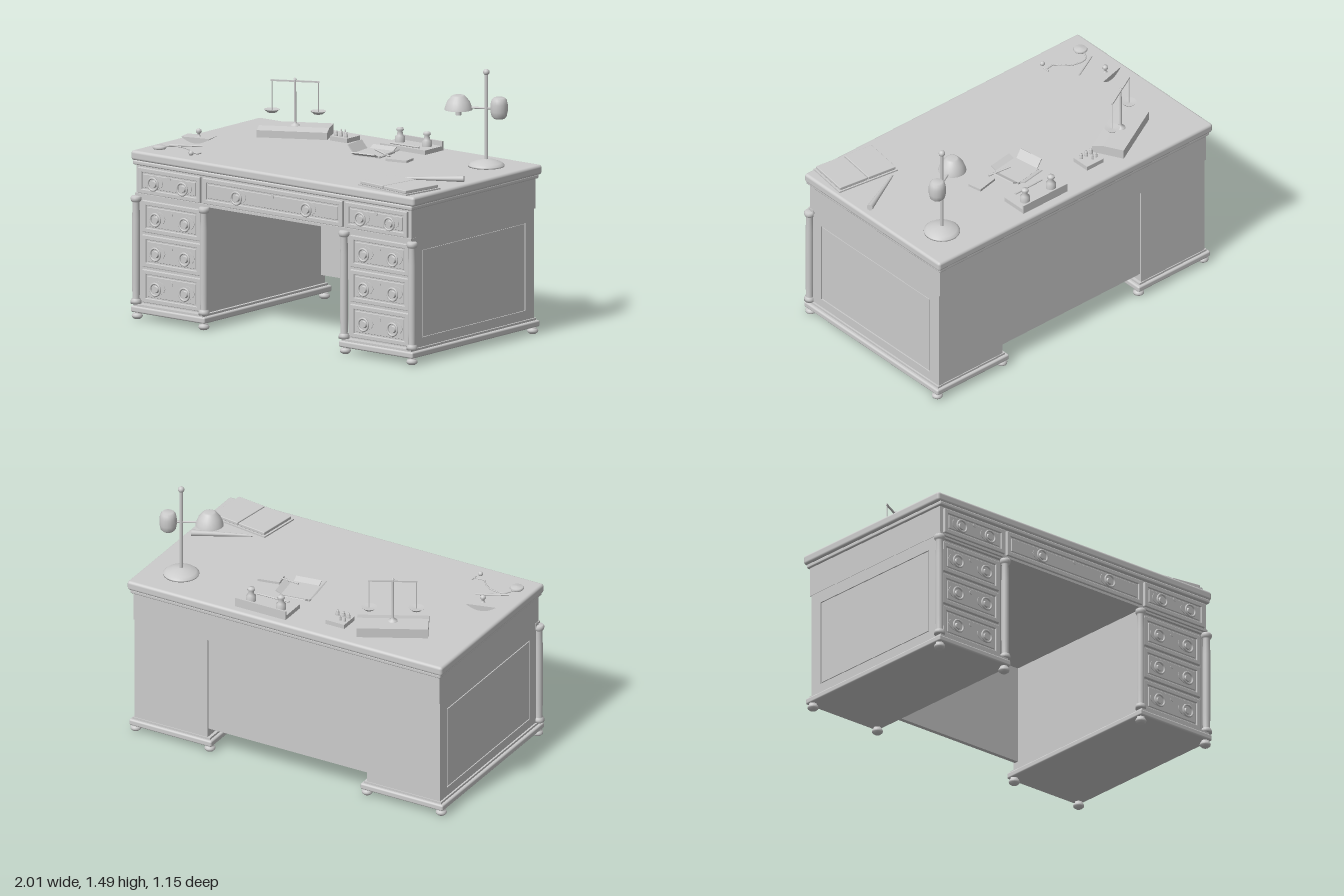
import * as THREE from 'three';
import { RoundedBoxGeometry } from 'three/addons/geometries/RoundedBoxGeometry.js';

const mat = new THREE.MeshStandardMaterial({ color: 0xcccccc, side: THREE.DoubleSide });
const TOP = 0.945; // height of the writing surface

function add(parent, name, geo, x = 0, y = 0, z = 0, rx = 0, ry = 0, rz = 0) {
  const m = new THREE.Mesh(geo, mat);
  m.name = name;
  m.position.set(x, y, z);
  m.rotation.set(rx, ry, rz);
  parent.add(m);
  return m;
}
function group(parent, name, x = 0, y = 0, z = 0, ry = 0) {
  const g = new THREE.Group();
  g.name = name;
  g.position.set(x, y, z);
  g.rotation.y = ry;
  parent.add(g);
  return g;
}
// Box given by its limits
function block(parent, name, x0, x1, y0, y1, z0, z1, r = 0) {
  const s = [x1 - x0, y1 - y0, z1 - z0];
  const geo = r ? new RoundedBoxGeometry(...s, 4, r) : new THREE.BoxGeometry(...s);
  return add(parent, name, geo, (x0 + x1) / 2, (y0 + y1) / 2, (z0 + z1) / 2);
}
const lathe = (pts, n = 24) => new THREE.LatheGeometry(pts.map(p => new THREE.Vector2(...p)), n);
const cyl = (r0, r1, h, n = 16) => new THREE.CylinderGeometry(r0, r1, h, n);
const ball = r => new THREE.SphereGeometry(r, 16, 12);

// Straight rod between two points
function rod(parent, name, a, b, ra, rb = ra) {
  const p = new THREE.Vector3(...a), q = new THREE.Vector3(...b), d = q.clone().sub(p);
  const m = add(parent, name, cyl(rb, ra, d.length(), 10));
  m.position.copy(p).add(q).multiplyScalar(0.5);
  m.quaternion.setFromUnitVectors(new THREE.Vector3(0, 1, 0), d.normalize());
  return m;
}
// Rectangular frame lying in the xy plane
function frame(w, h, border, depth, bevel = 0) {
  const rect = (T, a, b) => new T([[-a, -b], [a, -b], [a, b], [-a, b]].map(p => new THREE.Vector2(...p)));
  const s = rect(THREE.Shape, w / 2 - bevel, h / 2 - bevel);
  s.holes.push(rect(THREE.Path, w / 2 - border + bevel, h / 2 - border + bevel));
  return new THREE.ExtrudeGeometry(s, {
    depth: depth - bevel, bevelEnabled: bevel > 0, bevelSize: bevel, bevelThickness: bevel, bevelSegments: 2,
  });
}

// Drawer front with raised border, keyhole and ring pulls
function drawer(parent, x0, x1, y0, y1, z, pulls) {
  const w = x1 - x0, h = y1 - y0;
  const g = group(parent, 'drawer', (x0 + x1) / 2, (y0 + y1) / 2, z);
  block(g, 'drawerFront', -w / 2, w / 2, -h / 2, h / 2, -0.01, 0.006);
  add(g, 'drawerBorder', frame(w, h, 0.026, 0.014, 0.004));
  block(g, 'drawerPanel', -w / 2 + 0.034, w / 2 - 0.034, -h / 2 + 0.034, h / 2 - 0.034, 0, 0.011, 0.003);
  add(g, 'keyhole', cyl(0.011, 0.011, 0.006), 0, 0.033, 0.012, Math.PI / 2);
  for (const x of pulls) {
    const p = group(g, 'pull', x, -0.008, 0.011);
    const plate = add(p, 'backPlate', cyl(0.06, 0.06, 0.005, 20), 0, 0.008, 0.001, Math.PI / 2);
    plate.scale.z = 0.64;
    add(p, 'pullBoss', cyl(0.016, 0.022, 0.014), 0, 0, 0.007, Math.PI / 2);
    add(p, 'pullRing', new THREE.TorusGeometry(0.034, 0.006, 8, 28), 0, 0, 0.015);
  }
}

function pedestal(parent, side) {
  const g = group(parent, 'pedestal');
  const cx = side * 0.735;
  block(g, 'pedestalBody', cx - 0.228, cx + 0.228, 0.07, 0.7, -0.54, 0.51);
  block(g, 'plinth', cx - 0.262, cx + 0.262, 0.038, 0.074, -0.56, 0.56, 0.01);
  block(g, 'plinthMoulding', cx - 0.245, cx + 0.245, 0.072, 0.086, -0.545, 0.552);
  block(g, 'columnHeadRail', cx - 0.24, cx + 0.24, 0.685, 0.7, 0.5, 0.53);
  // Sunken panel on the outer side
  const inner = frame(1.05, 0.63, 0.01, 0.007);
  add(g, 'sidePanelRim', inner, cx + side * 0.228, 0.385, -0.015, 0, side * Math.PI / 2);
  const rail = [[-0.54, -0.463, 0.07, 0.7], [0.443, 0.51, 0.07, 0.7], [-0.463, 0.443, 0.632, 0.7], [-0.463, 0.443, 0.07, 0.138]];
  const xa = cx + side * 0.227, xb = cx + side * 0.235;
  for (const [z0, z1, y0, y1] of rail)
    block(g, 'sidePanelRail', Math.min(xa, xb), Math.max(xa, xb), y0, y1, z0, z1);
  block(g, 'sidePanelField', Math.min(xa, xb), Math.max(xa, xb) - 0.002, 0.144, 0.626, -0.457, 0.437);
  for (const [y0, y1] of [[0.095, 0.28], [0.295, 0.475], [0.49, 0.668]])
    drawer(g, cx - 0.205, cx + 0.205, y0, y1, 0.512, [-0.103, 0.103]);
  // Turned columns and bun feet
  const col = lathe([[0, 0.085], [0.03, 0.085], [0.03, 0.1], [0.025, 0.112], [0.02, 0.115], [0.022, 0.2], [0.022, 0.56],
    [0.019, 0.655], [0.026, 0.66], [0.03, 0.67], [0.03, 0.682], [0.024, 0.69], [0, 0.69]], 20);
  const foot = lathe([[0, 0], [0.018, 0], [0.029, 0.009], [0.031, 0.018], [0.026, 0.028], [0.018, 0.031], [0.022, 0.04], [0, 0.04]], 20);
  for (const dx of [-0.24, 0.24]) {
    add(g, 'column', col, cx + dx, 0, 0.535);
    for (const z of [-0.527, 0.53]) add(g, 'foot', foot, cx + dx * 0.98, 0, z);
  }
}

function balanceScale(parent) {
  const g = group(parent, 'balanceScale', -0.545, TOP, -0.325, 0.49);
  // Case with a sloping top
  const s = new THREE.Shape([[-0.093, 0], [0.093, 0], [0.093, 0.04], [0.03, 0.055], [-0.093, 0.055]].map(p => new THREE.Vector2(...p)));
  add(g, 'scaleCase', new THREE.ExtrudeGeometry(s, { depth: 0.395, bevelEnabled: false }), 0.1975, 0, 0, 0, -Math.PI / 2);
  add(g, 'scaleColumn', lathe([[0.028, 0.05], [0.026, 0.06], [0.012, 0.066], [0.007, 0.08], [0.006, 0.31], [0.01, 0.315], [0, 0.325]], 16));
  block(g, 'scaleBeam', -0.137, 0.137, 0.3, 0.309, -0.004, 0.004);
  for (const x of [-0.13, 0.13]) {
    rod(g, 'scaleHanger', [x, 0.3, 0], [x, 0.125, 0], 0.0025);
    add(g, 'scalePan', lathe([[0, 0.122], [0.025, 0.125], [0.042, 0.14], [0.043, 0.142], [0, 0.136]]), x);
  }
}

function lamp(parent) {
  const g = group(parent, 'deskLamp', 0.784, TOP, -0.352);
  add(g, 'lampBase', lathe([[0, 0], [0.1, 0], [0.1, 0.008], [0.085, 0.02], [0.05, 0.033], [0.012, 0.04], [0, 0.04]], 32));
  rod(g, 'lampPole', [0, 0.03, 0], [0, 0.52, 0], 0.01);
  add(g, 'lampFinial', ball(0.018), 0, 0.528, 0);
  rod(g, 'lampArm', [-0.139, 0.325, 0.072], [0.06, 0.325, -0.032], 0.006);
  add(g, 'lampShade', lathe([[0.078, 0.312], [0.075, 0.325], [0.062, 0.358], [0.038, 0.387], [0.028, 0.392], [0, 0.392]]), -0.139, 0, 0.072);
  add(g, 'lampSocket', cyl(0.014, 0.016, 0.1), -0.139, 0.33, 0.072);
  add(g, 'barrelShade', lathe([[0, 0.27], [0.03, 0.27], [0.042, 0.282], [0.048, 0.31], [0.048, 0.35], [0.042, 0.375], [0.03, 0.387], [0, 0.387]], 16), 0.063, 0, -0.034);
}

function inkstand(parent) {
  const g = group(parent, 'inkstand', 0.18, TOP, -0.446);
  block(g, 'inkTray', -0.16, 0.16, 0, 0.025, -0.08, 0.08);
  block(g, 'inkBack', -0.16, 0.16, 0.02, 0.052, -0.08, -0.07);
  for (const x of [-0.095, 0.095])
    add(g, 'inkwell', lathe([[0.028, 0.025], [0.028, 0.055], [0.018, 0.062], [0.014, 0.085], [0.022, 0.092], [0.018, 0.104], [0, 0.109]], 16), x, 0, -0.017);
  rod(g, 'pen', [-0.1, 0.031, 0.062], [0.1, 0.031, 0.058], 0.005);
}

function openBox(parent) {
  const g = group(parent, 'openBox', 0.108, TOP, -0.205, 0.15);
  block(g, 'boxFloor', -0.085, 0.085, 0, 0.012, -0.085, 0.085);
  // Four flaps leaning outward
  for (let i = 0; i < 4; i++) {
    const arm = group(g, 'flapHinge', 0, 0, 0, i * Math.PI / 2);
    const tilt = i === 3 ? 0.9 : 0.45;
    const len = i === 3 ? 0.06 : 0.04;
    add(arm, 'flap', new THREE.BoxGeometry(0.15, 0.006, len), 0, 0.008 + Math.sin(tilt) * len / 2, 0.085 + Math.cos(tilt) * len / 2, -tilt);
  }
  const s = group(parent, 'smallStand', 0.325, TOP, -0.16, 0.2);
  block(s, 'standBlock', -0.065, 0.065, 0, 0.014, -0.042, 0.042);
  rod(s, 'standPen', [-0.18, 0.035, -0.06], [-0.06, 0.018, 0.0], 0.005);
}

function openBook(parent) {
  const g = group(parent, 'openBook', 0.765, TOP, 0.388, -0.14);
  block(g, 'bookCover', -0.193, 0.193, 0, 0.008, -0.13, 0.13);
  for (const s of [-1, 1]) {
    const x = s * 0.093;
    block(g, 'bookPages', x - 0.09, x + 0.09, 0.008, 0.027, -0.122, 0.122, 0.004);
  }
}

function smallThings(parent) {
  // Weight block with pegs
  const w = group(parent, 'weightBlock', -0.25, TOP, -0.395);
  block(w, 'weightHolder', -0.06, 0.06, 0, 0.025, -0.057, 0.057);
  for (const [x, z, r] of [[-0.04, -0.018, 0.007], [-0.012, -0.018, 0.007], [-0.04, 0.027, 0.011], [-0.006, 0.027, 0.011], [0.03, 0.027, 0.011]])
    add(w, 'weight', lathe([[r, 0.025], [r, 0.04], [r * 0.5, 0.044], [r * 0.8, 0.052], [0, 0.056]], 12), x, 0, z);
  // Rocker blotter
  const b = group(parent, 'blotter', -0.845, TOP, 0.147, 0.25);
  const arc = new THREE.Shape();
  arc.moveTo(-0.087, 0.032);
  arc.quadraticCurveTo(0, -0.032, 0.087, 0.032);
  add(b, 'blotterRocker', new THREE.ExtrudeGeometry(arc, { depth: 0.09, bevelEnabled: false }), 0, 0, -0.045);
  add(b, 'blotterKnob', lathe([[0.014, 0.03], [0.007, 0.04], [0.008, 0.048], [0.017, 0.058], [0.014, 0.071], [0, 0.076]], 16));
  // Pen, tapered roll, watch and chain
  rod(parent, 'loosePen', [-0.905, TOP + 0.006, 0.33], [-0.74, TOP + 0.006, 0.245], 0.005);
  rod(parent, 'taperedRoll', [0.655, TOP + 0.008, 0.21], [0.955, TOP + 0.018, 0.055], 0.006, 0.018);
  add(parent, 'watch', lathe([[0, 0], [0.034, 0], [0.04, 0.008], [0.034, 0.016], [0, 0.02]]), -0.902, TOP, 0.42);
  const path = [[-0.9, 0.38], [-0.865, 0.335], [-0.795, 0.335], [-0.735, 0.37], [-0.7, 0.41], [-0.64, 0.405]];
  const curve = new THREE.CatmullRomCurve3(path.map(([x, z]) => new THREE.Vector3(x, TOP + 0.005, z)));
  add(parent, 'watchChain', new THREE.TubeGeometry(curve, 40, 0.004, 6));
  rod(parent, 'chainBar', [-0.638, TOP + 0.005, 0.385], [-0.638, TOP + 0.005, 0.425], 0.004);
  add(parent, 'chainFob', ball(0.014), -0.653, TOP + 0.013, 0.452);
}

export function createModel() {
  const desk = new THREE.Group();
  desk.name = 'pedestalDesk';
  // Top slab, mouldings and drawer case
  block(desk, 'deskTop', -1, 1, 0.89, TOP, -0.577, 0.553, 0.016);
  block(desk, 'topMoulding', -0.985, 0.985, 0.868, 0.893, -0.565, 0.553, 0.008);
  block(desk, 'drawerCase', -0.972, 0.972, 0.7, 0.872, -0.55, 0.535);
  block(desk, 'caseMoulding', -0.975, 0.975, 0.695, 0.709, 0.5, 0.545);
  drawer(desk, -0.95, -0.512, 0.712, 0.857, 0.537, [-0.103, 0.103]);
  drawer(desk, -0.493, 0.493, 0.712, 0.857, 0.537, [-0.246, 0.246]);
  drawer(desk, 0.512, 0.95, 0.712, 0.857, 0.537, [-0.103, 0.103]);
  block(desk, 'modestyPanel', -0.51, 0.51, 0.135, 0.702, -0.53, -0.505);
  pedestal(desk, -1);
  pedestal(desk, 1);
  // Things on the desk
  balanceScale(desk);
  lamp(desk);
  inkstand(desk);
  openBox(desk);
  openBook(desk);
  smallThings(desk);
  return desk;
}
